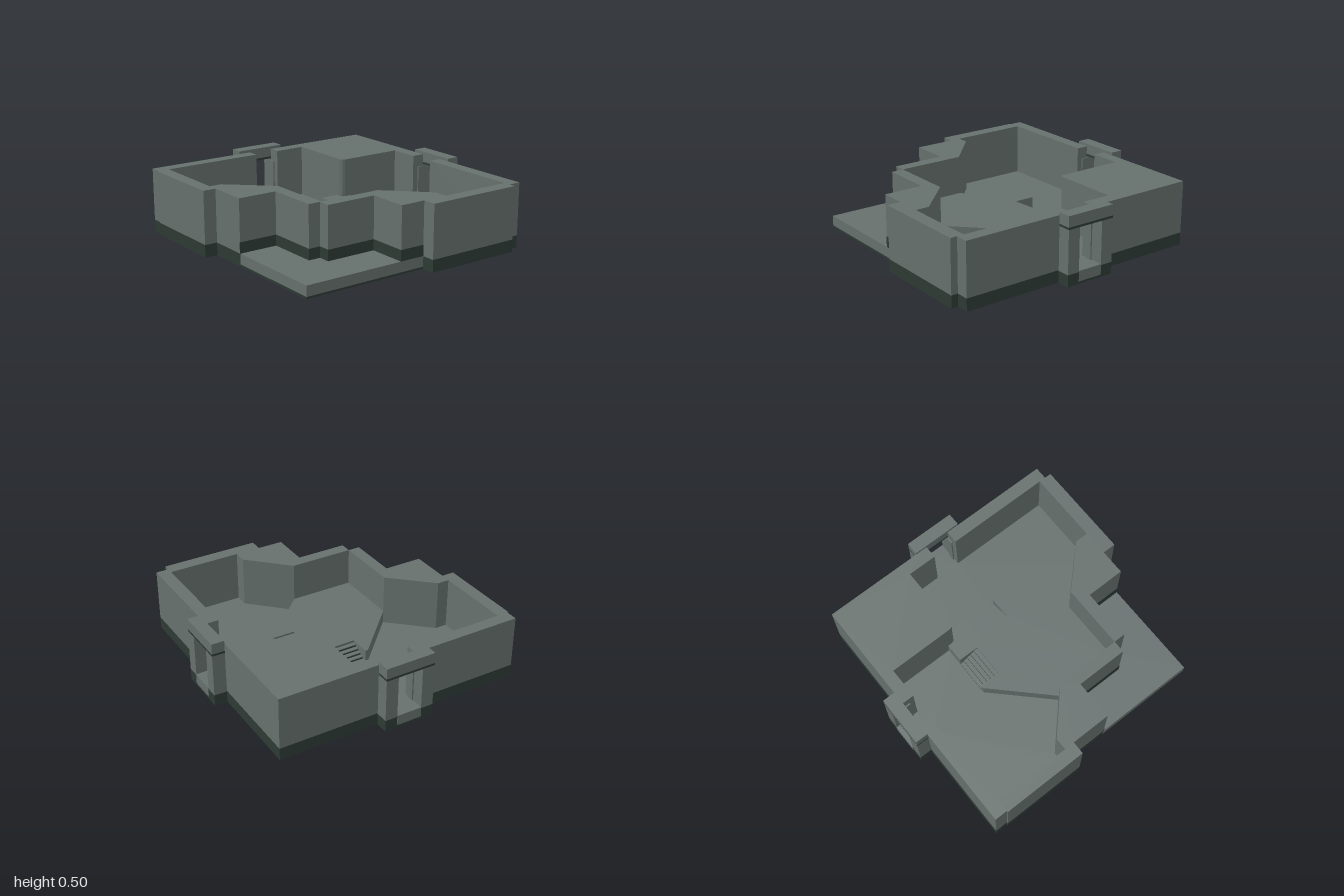
import * as THREE from 'three';

const stone = new THREE.MeshStandardMaterial({ color: 0x66706d });
stone.name = 'grey stone';
const dark = new THREE.MeshStandardMaterial({ color: 0x2d3a34 });
dark.name = 'dark green stone';

const FLOOR = 0.09, PLATFORM = 0.19, WALL = 0.475;

// Upright prism over a plan outline of [x, z] points
function prism(name, plan, y0, y1, material) {
  const shape = new THREE.Shape(plan.map(([x, z]) => new THREE.Vector2(x, -z)));
  const geo = new THREE.ExtrudeGeometry(shape, { depth: y1 - y0, bevelEnabled: false });
  geo.rotateX(-Math.PI / 2).translate(0, y0, 0);
  const mesh = new THREE.Mesh(geo, material);
  mesh.name = name;
  return mesh;
}

// Box given by its limits on each axis
function block(name, x0, x1, y0, y1, z0, z1, material) {
  const mesh = new THREE.Mesh(new THREE.BoxGeometry(x1 - x0, y1 - y0, z1 - z0), material);
  mesh.position.set((x0 + x1) / 2, (y0 + y1) / 2, (z0 + z1) / 2);
  mesh.name = name;
  return mesh;
}

// Outer faces that stand on the front terrace
const terraceEdge = [
  [-0.89, 0.135], [-0.6, 0.135], [-0.6, 0.52], [-0.51, 0.52],
  [-0.51, 0.61], [-0.13, 0.61], [-0.13, 0.9], [0.06, 0.9],
];

const backRightWall = [
  [0.05, -0.905], [0.885, -0.905], [0.885, -0.07], [0.79, -0.07], [0.79, -0.29],
  [0.31, -0.29], [0.29, -0.3], [0.28, -0.32], [0.28, -0.815], [0.05, -0.815],
];
const frontWall = [
  [0.885, 0.12], [0.885, 0.95], [0.79, 0.95], [0.79, 1], [0.06, 1], [0.06, 0.9],
  [-0.13, 0.9], [-0.13, 0.61], [-0.51, 0.61], [-0.51, 0.52], [-0.03, 0.52],
  [0.25, 0.8], [0.25, 0.9], [0.79, 0.9], [0.79, 0.12],
];
const leftWall = [
  [-0.14, -0.905], [-0.975, -0.905], [-0.975, -0.81], [-0.985, -0.81], [-0.985, -0.165],
  [-0.89, -0.165], [-0.89, 0.135], [-0.6, 0.135], [-0.6, 0.52], [-0.51, 0.52],
  [-0.51, 0.03], [-0.8, -0.24], [-0.89, -0.24], [-0.89, -0.815], [-0.14, -0.815],
];
const footprint = [
  [-0.975, -0.905], [0.885, -0.905], [0.885, 0.95], [0.79, 0.95], [0.79, 1], [0.06, 1],
  ...[...terraceEdge].reverse(),
  [-0.89, -0.165], [-0.985, -0.165], [-0.985, -0.81], [-0.975, -0.81],
];
const interior = [
  [-0.89, -0.815], [-0.14, -0.815], [-0.14, -0.905], [0.05, -0.905], [0.05, -0.815],
  [0.28, -0.815], [0.28, -0.32], [0.31, -0.29], [0.79, -0.29], [0.79, -0.07],
  [0.885, -0.07], [0.885, 0.12], [0.79, 0.12], [0.79, 0.9], [0.25, 0.9], [0.25, 0.8],
  [-0.03, 0.52], [-0.51, 0.52], [-0.51, 0.03], [-0.8, -0.24], [-0.89, -0.24],
];
// Raised platform with two stair notches
const platform = [
  [-0.51, 0.03], [-0.13, -0.355], [-0.11, -0.355], [-0.11, -0.2], [0.14, -0.2],
  [0.14, -0.355], [0.28, -0.355], [0.28, -0.32], [0.31, -0.29], [0.36, -0.29],
  [0.36, -0.13], [0.2, -0.13], [0.2, 0.12], [0.36, 0.12], [0.36, 0.14],
  [-0.03, 0.52], [-0.51, 0.52],
];

// Stair climbing towards -x from the origin: dark cores under pale treads
function stair(name, width, run) {
  const group = new THREE.Group();
  group.name = name;
  const count = 5, rise = (PLATFORM - FLOOR) / (count + 1), going = run / count;
  for (let i = 0; i < count; i++) {
    const x1 = -i * going, top = FLOOR + (i + 1) * rise;
    group.add(block('stepCore', x1 - going, x1, FLOOR, top - 0.006, -width / 2, width / 2, dark));
    group.add(block('tread', x1 - going, x1, top - 0.006, top, -width / 2, width / 2, stone));
  }
  return group;
}

// Door frame facing +x, its back on x = 0 and its middle on z = 0
function doorway(name) {
  const group = new THREE.Group();
  group.name = name;
  const d = 0.095, half = 0.188, gap = 0.095;
  group.add(block('framePlinth', 0, d, 0, 0.085, -half, half, dark));
  group.add(block('sill', 0, d + 0.002, 0.018, FLOOR + 0.003, -gap, gap, stone));
  for (const s of [-1, 1]) {
    const [a, b] = s < 0 ? [-half, -gap] : [gap, half];
    group.add(block('jamb', 0, d, 0.085, 0.4, a, b, stone));
    const [c, e] = s < 0 ? [-gap, -gap + 0.01] : [gap - 0.01, gap];
    group.add(block('doorStop', -0.05, 0, FLOOR, 0.385, c, e, stone));
  }
  group.add(block('lintelBand', 0, d, 0.4, 0.416, -half, half, dark));
  group.add(block('lintel', 0, d, 0.416, 0.495, -half, half, stone));
  return group;
}

export function createModel() {
  const model = new THREE.Group();
  model.name = 'walledCourtyard';

  // Ground level
  model.add(prism('plinth', footprint, 0, FLOOR, dark));
  model.add(prism('floor', interior, FLOOR, FLOOR + 0.003, stone));
  model.add(block('terraceFoot', -0.89, 0.06, 0, 0.016, 0.13, 0.9, dark));
  model.add(block('terrace', -0.89, 0.06, 0.016, FLOOR + 0.001, 0.136, 0.902, stone));

  // Walls
  model.add(prism('backRightWall', backRightWall, FLOOR, WALL, stone));
  model.add(prism('frontWall', frontWall, FLOOR, WALL, stone));
  model.add(prism('leftWall', leftWall, FLOOR, WALL, stone));

  // Dark skirting where the walls meet the terrace
  const t = 0.002;
  for (let i = 0; i + 1 < terraceEdge.length; i++) {
    const [xa, za] = terraceEdge[i], [xb, zb] = terraceEdge[i + 1];
    model.add(block('skirting', xa - t, xb + (xa === xb ? t : 0), FLOOR, 0.17, za - t, zb + t, dark));
  }

  // Platform and stairs
  model.add(prism('platform', platform, FLOOR, PLATFORM, stone));
  const sideStair = stair('sideStair', 0.25, 0.16);
  sideStair.position.set(0.36, 0, -0.005);
  const backStair = stair('backStair', 0.25, 0.155);
  backStair.rotation.y = Math.PI / 2;
  backStair.position.set(0.015, 0, -0.355);
  model.add(sideStair, backStair);

  // Doorways
  const sideDoor = doorway('sideDoorway');
  sideDoor.position.set(0.885, 0, 0.025);
  const backDoor = doorway('backDoorway');
  backDoor.rotation.y = Math.PI / 2;
  backDoor.position.set(-0.045, 0, -0.905);
  model.add(sideDoor, backDoor);

  return model;
}
